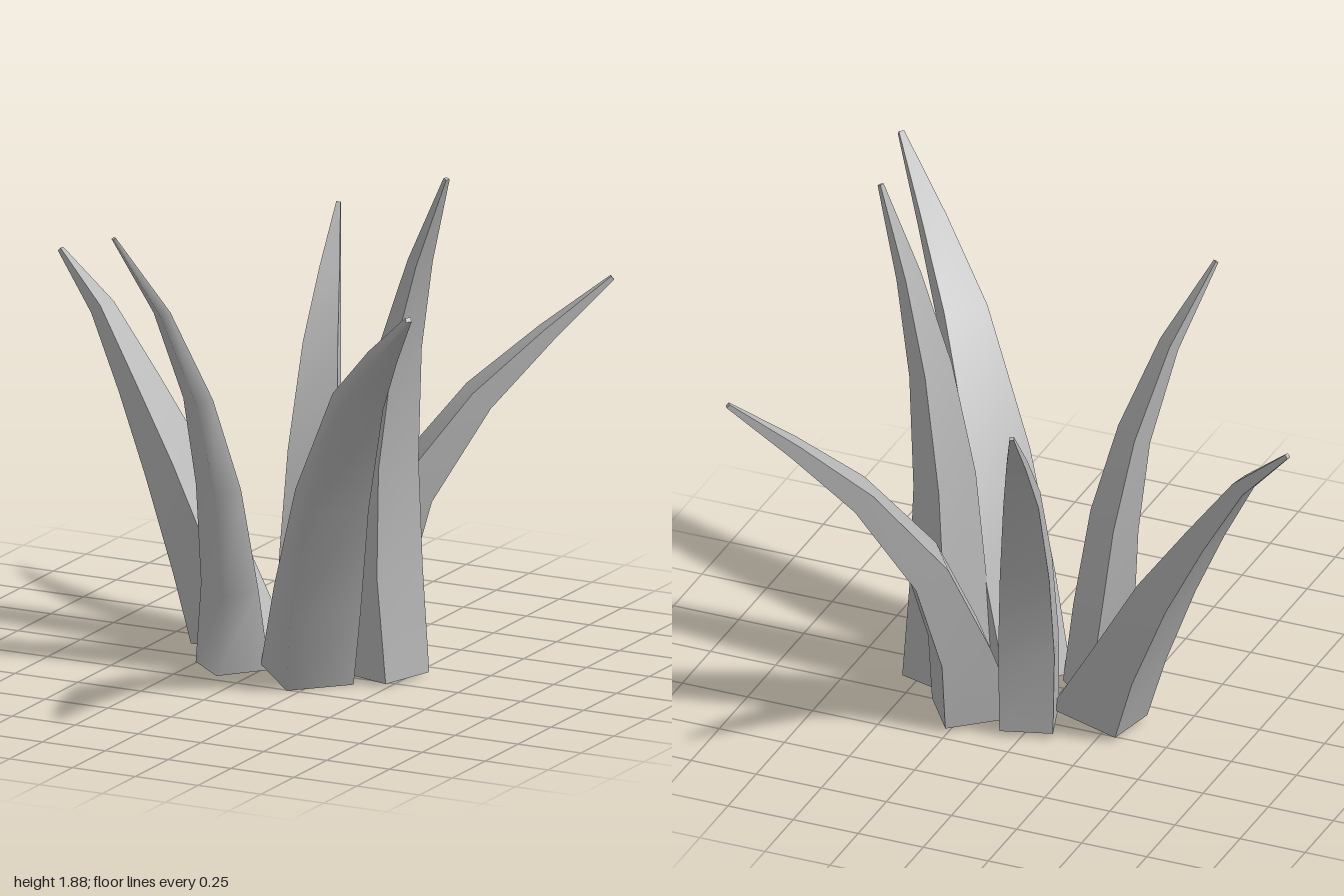
import * as THREE from 'three';

// Taper of the blade from base to tip, relative to its base size
const WIDTH = [1, 1.05, 0.92, 0.66, 0.38, 0.08];
const DEPTH = [1, 0.68, 0.5, 0.32, 0.19, 0.06];

// base: [x, z] of the foot, tip: [x, z] of the point, width/depth: size of the foot,
// path: [distance outward, height] of each section,
// soft: outer corner that is rounded off in shading (1 or -1), 0 for none
const LEAVES = [
  { name: 'frontLeftLeaf', base: [0.19, 0.075], tip: [0.985, 0.83], width: 0.25, depth: 0.28, soft: 1,
    path: [[0, 0.022], [0.11, 0.33], [0.27, 0.735], [0.55, 1.165], [0.82, 1.4], [1.1, 1.61]] },
  { name: 'frontRightLeaf', base: [-0.115, 0.06], tip: [-0.41, 0.4], width: 0.2, depth: 0.2, soft: -1,
    path: [[0, 0.01], [0.01, 0.3], [0.053, 0.67], [0.13, 1.0], [0.267, 1.33], [0.45, 1.62]] },
  { name: 'leftLeaf', base: [0.41, -0.085], tip: [0.71, 0.005], width: 0.22, depth: 0.235, soft: 0,
    path: [[0, 0.02], [0, 0.4], [0.015, 0.8], [0.08, 1.22], [0.18, 1.56], [0.31, 1.885]] },
  { name: 'backLeftLeaf', base: [0.215, -0.285], tip: [0.945, -0.805], width: 0.225, depth: 0.27, soft: 0,
    path: [[0, 0.03], [0.06, 0.3], [0.18, 0.62], [0.42, 0.94], [0.66, 1.16], [0.895, 1.355]] },
  { name: 'backLeaf', base: [0.015, -0.275], tip: [-0.16, -0.835], width: 0.19, depth: 0.21, soft: 0,
    path: [[0, 0.03], [0.03, 0.35], [0.11, 0.7], [0.25, 1.05], [0.42, 1.28], [0.585, 1.48]] },
  { name: 'rightLeaf', base: [-0.2, -0.156], tip: [-0.995, -0.315], width: 0.2, depth: 0.28, soft: 0,
    path: [[0, 0.04], [0.13, 0.31], [0.29, 0.63], [0.455, 0.9], [0.62, 1.15], [0.81, 1.33]] },
];

// Four-sided tapering blade, swept along a curve that leans outward
function leafGeometry({ base, tip, width, depth, path, soft }) {
  const out = new THREE.Vector3(tip[0] - base[0], 0, tip[1] - base[1]).normalize();
  const side = new THREE.Vector3(-out.z, 0, out.x);

  // Corners of each section, counter-clockwise from above, starting outside
  const rings = path.map(([s, y], i) => {
    const a = path[Math.max(i - 1, 0)], b = path[Math.min(i + 1, path.length - 1)];
    const lean = Math.atan2(b[0] - a[0], b[1] - a[1]) * (i === 0 ? 0.25 : 1);
    const centre = new THREE.Vector3(base[0], y, base[1]).addScaledVector(out, s);
    const across = out.clone().multiplyScalar(Math.cos(lean));
    across.y = -Math.sin(lean);
    return [[1, 1], [1, -1], [-1, -1], [-1, 1]].map(([d, w]) => centre.clone()
      .addScaledVector(across, d * depth * DEPTH[i] / 2)
      .addScaledVector(side, w * width * WIDTH[i] / 2));
  });

  // Each face has its own pair of columns, so the corners stay sharp
  const positions = [], index = [];
  const push = (p) => positions.push(p.x, p.y, p.z) / 3 - 1;
  const columns = [];
  for (let f = 0; f < 4; f++) {
    columns.push([rings.map((r) => push(r[f])), rings.map((r) => push(r[(f + 1) % 4]))]);
  }
  // A soft corner shares one column between the outer face and a side
  if (soft === 1) columns[3][1] = columns[0][0];
  if (soft === -1) columns[1][0] = columns[0][1];
  for (const [l, r] of columns) {
    for (let j = 0; j < rings.length - 1; j++) {
      index.push(l[j], r[j], r[j + 1], l[j], r[j + 1], l[j + 1]);
    }
  }

  // Flat foot and tip
  const foot = rings[0].map(push), top = rings[rings.length - 1].map(push);
  index.push(foot[0], foot[2], foot[1], foot[0], foot[3], foot[2]);
  index.push(top[0], top[1], top[2], top[0], top[2], top[3]);

  const geometry = new THREE.BufferGeometry();
  geometry.setAttribute('position', new THREE.Float32BufferAttribute(positions, 3));
  geometry.setIndex(index);
  geometry.computeVertexNormals();
  return geometry;
}

export function createModel() {
  const model = new THREE.Group();
  model.name = 'spikyPlant';
  const grey = new THREE.MeshStandardMaterial({ color: 0xb4b4b4 });
  grey.name = 'leafGrey';
  for (const leaf of LEAVES) {
    const mesh = new THREE.Mesh(leafGeometry(leaf), grey);
    mesh.name = leaf.name;
    model.add(mesh);
  }
  return model;
}
